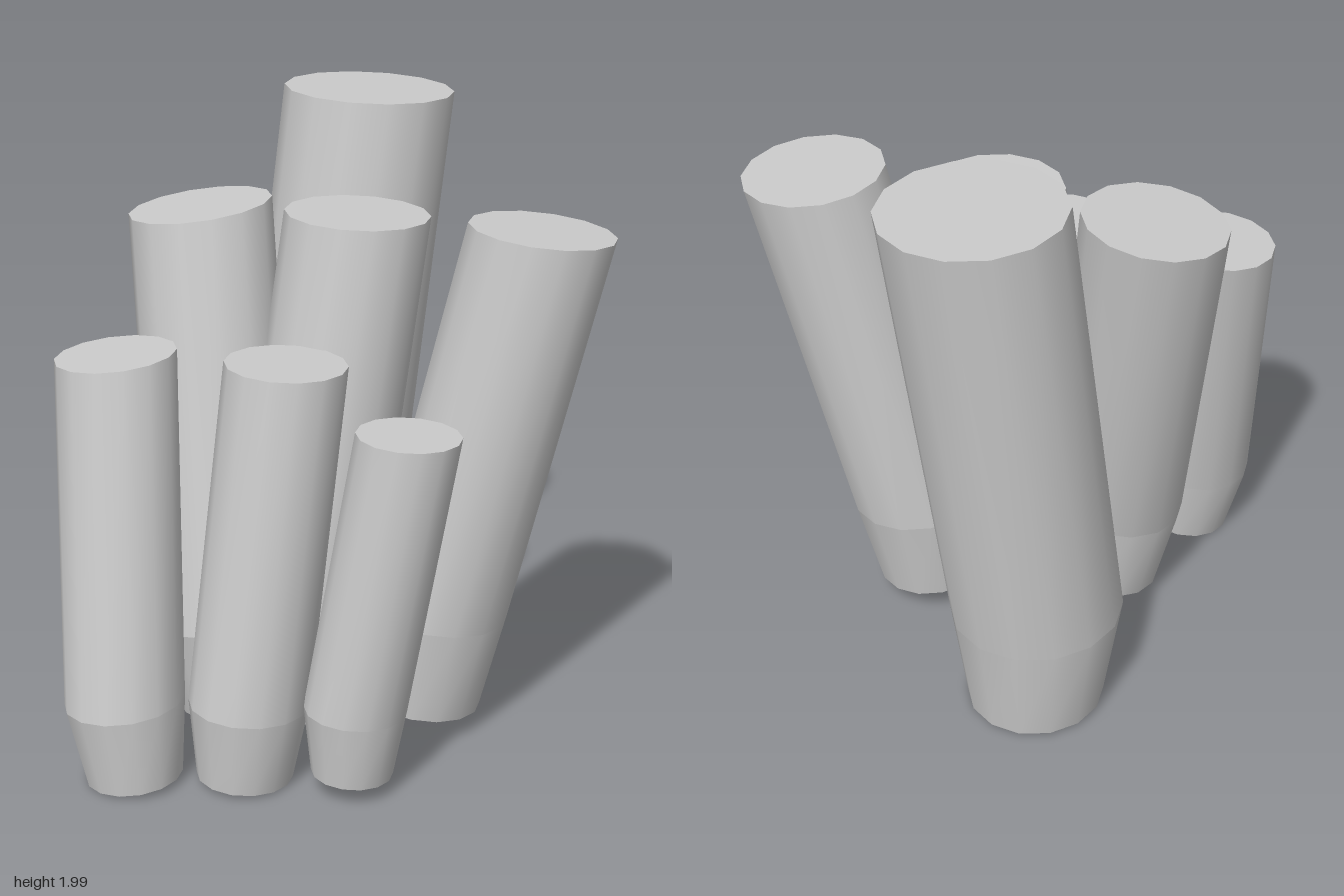
import * as THREE from 'three';
import { mergeVertices } from 'three/addons/utils/BufferGeometryUtils.js';

const SIDES = 14;
const material = new THREE.MeshStandardMaterial({ color: 0xcccccc, side: THREE.DoubleSide });

// Each post: ring centres [x, y, z] at foot, bend and top, with radii,
// and the slope of the rings (rise in y per unit of x).
const posts = [
  { name: 'tallBackPost', foot: [-0.095, 0.02, -0.37], bend: [-0.095, 0.39, -0.367], top: [0.095, 1.985, -0.54], rFoot: 0.228, r: 0.284, slope: -0.045 },
  { name: 'leftLeaningPost', foot: [0.28, 0.1, 0.195], bend: [0.32, 0.42, 0.195], top: [0.63, 1.685, 0.195], rFoot: 0.187, r: 0.231, slope: -0.105 },
  { name: 'centerPost', foot: [-0.14, 0.1, 0.22], bend: [-0.12, 0.41, 0.21], top: [0.06, 1.703, 0.053], rFoot: 0.187, r: 0.231, slope: -0.047 },
  { name: 'rightBackPost', foot: [-0.33, 0.1, 0.2], bend: [-0.36, 0.41, 0.19], top: [-0.445, 1.69, -0.098], rFoot: 0.187, r: 0.231, slope: 0.13 },
  { name: 'rightFrontPost', foot: [-0.634, 0.025, 0.6], bend: [-0.66, 0.278, 0.585], top: [-0.677, 1.338, 0.375], rFoot: 0.152, r: 0.189, slope: 0.09 },
  { name: 'middleFrontPost', foot: [-0.288, 0.023, 0.59], bend: [-0.272, 0.27, 0.585], top: [-0.152, 1.34, 0.471], rFoot: 0.152, r: 0.189, slope: -0.045 },
  { name: 'shortFrontPost', foot: [0.05, 0.07, 0.658], bend: [0.06, 0.285, 0.657], top: [0.217, 1.18, 0.658], rFoot: 0.128, r: 0.16, slope: -0.05 },
];

// Unit tube whose end rings are moved to two tilted rings, with smooth sides
function leaningTube(a, rA, b, rB, slope) {
  let geo = new THREE.CylinderGeometry(1, 1, 1, SIDES, 1, true, Math.PI / 2);
  geo.deleteAttribute('normal');
  geo.deleteAttribute('uv');
  geo = mergeVertices(geo);
  const p = geo.attributes.position;
  for (let i = 0; i < p.count; i++) {
    const upper = p.getY(i) > 0;
    const c = upper ? b : a, r = upper ? rB : rA;
    const dx = p.getX(i) * r, dz = p.getZ(i) * r;
    p.setXYZ(i, c[0] + dx, c[1] + dx * slope, c[2] + dz);
  }
  geo.computeVertexNormals();
  return geo;
}

// Flat lid on the tilted top ring
function tiltedLid(c, r, slope) {
  const geo = new THREE.CircleGeometry(r, SIDES).rotateX(-Math.PI / 2);
  const p = geo.attributes.position;
  for (let i = 0; i < p.count; i++) p.setY(i, p.getX(i) * slope);
  geo.translate(...c);
  geo.computeVertexNormals();
  return geo;
}

export function createModel() {
  const model = new THREE.Group();
  model.name = 'postCluster';
  for (const { name, foot, bend, top, rFoot, r, slope } of posts) {
    const post = new THREE.Group();
    post.name = name;
    const add = (part, geo) => {
      const mesh = new THREE.Mesh(geo, material);
      mesh.name = part;
      post.add(mesh);
    };
    add('taperedFoot', leaningTube(foot, rFoot, bend, r, slope)); // open below
    add('shaft', leaningTube(bend, r, top, r, slope));
    add('lid', tiltedLid(top, r, slope));
    model.add(post);
  }
  return model;
}
